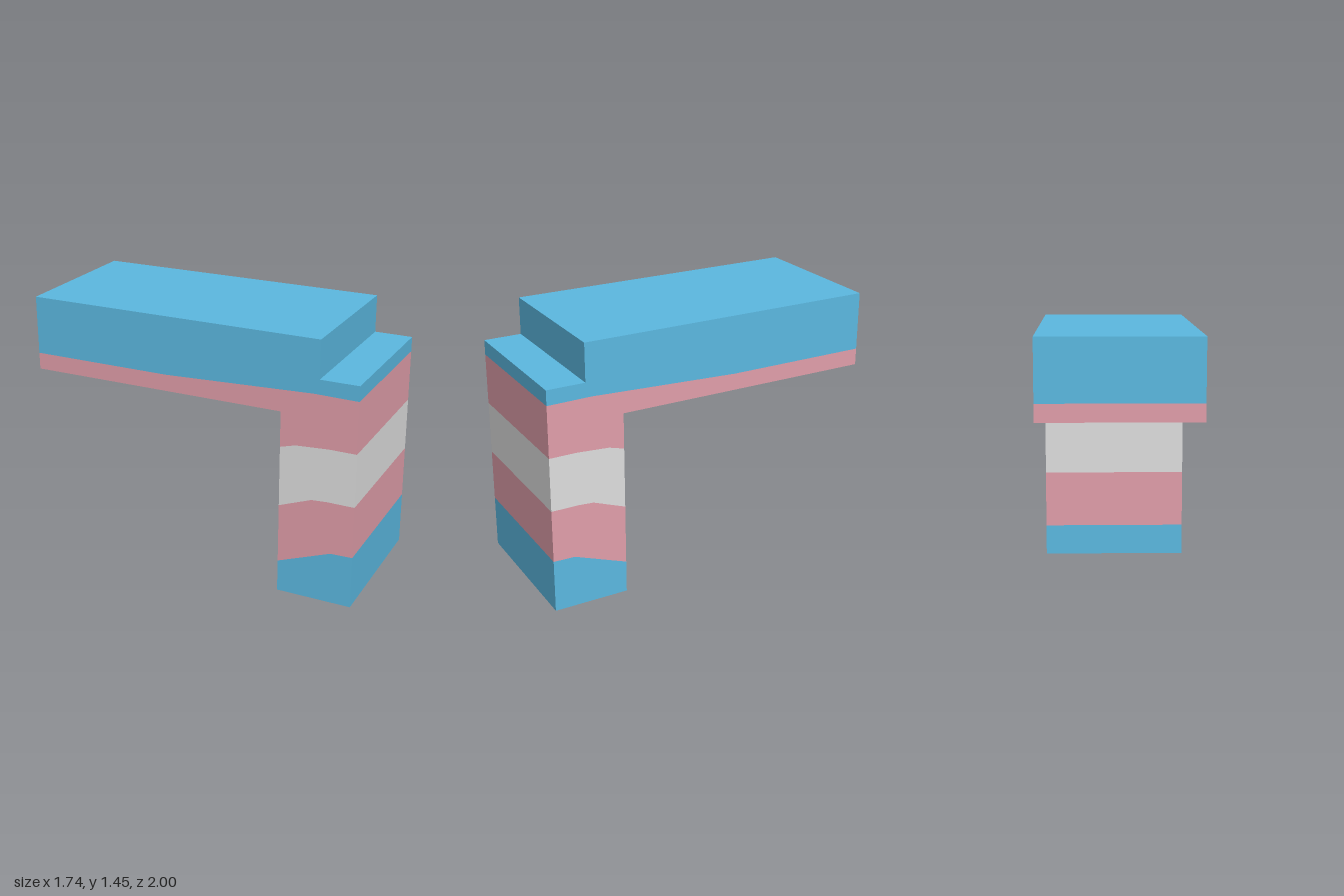
import * as THREE from 'three';

const WIDTH = 0.827;
const HEADING = Math.atan2(1.06, 1.53); // the body stands turned about the vertical
const BACK = -0.93, FRONT = 0.93;       // ends along the body's length
const LEG_BACK = 0.515, STEP = 0.72;    // rear of the leg, front of the raised top
const TOP = 1.447, STEP_Y = 1.24, ARM_Y = 1.035;

// Borders between the colour bands, as [length, height] from back to front
const borders = {
  low: [[LEG_BACK, 0.178], [0.81, 0.29], [FRONT, 0.293]],
  middle: [[LEG_BACK, 0.507], [0.695, 0.576], [0.78, 0.582], [FRONT, 0.582]],
  high: [[LEG_BACK, 0.84], [0.6, 0.864], [0.78, 0.876], [FRONT, 0.876]],
  arm: [[BACK, 1.127], [-0.14, 1.126], [0.69, 1.161], [FRONT, 1.158]],
};

const reversed = (points) => [...points].reverse();

// Side outline pushed across the full width
function band(name, outline, material) {
  const shape = new THREE.Shape(outline.map(([s, y]) => new THREE.Vector2(s, y)));
  const geometry = new THREE.ExtrudeGeometry(shape, { depth: WIDTH, bevelEnabled: false });
  geometry.translate(0, 0, -WIDTH / 2);
  geometry.rotateY(-Math.PI / 2);
  const mesh = new THREE.Mesh(geometry, material);
  mesh.name = name;
  return mesh;
}

export function createModel() {
  const blue = new THREE.MeshStandardMaterial({ color: 0x5cbae2 });
  blue.name = 'sky blue';
  const pink = new THREE.MeshStandardMaterial({ color: 0xe29fab });
  pink.name = 'pink';
  const white = new THREE.MeshStandardMaterial({ color: 0xe0e0e0 });
  white.name = 'off white';

  const { low, middle, high, arm } = borders;
  const body = new THREE.Group();
  body.name = 'stripedBody';
  body.rotation.y = HEADING;
  body.add(
    // Leg, from the ground up
    band('legFoot', [[LEG_BACK, 0], [FRONT, 0], ...reversed(low)], blue),
    band('legLowerStripe', [...low, ...reversed(middle)], pink),
    band('legMiddleStripe', [...middle, ...reversed(high)], white),
    // Upper stripe runs from the leg back along the underside of the arm
    band('upperStripe', [[BACK, ARM_Y], [LEG_BACK, ARM_Y], ...high, ...reversed(arm)], pink),
    // Arm with the small step at its front
    band('armTop', [...arm, [FRONT, STEP_Y], [STEP, STEP_Y], [STEP, TOP], [BACK, TOP]], blue),
  );

  const model = new THREE.Group();
  model.name = 'stripedBracket';
  model.add(body);
  return model;
}
